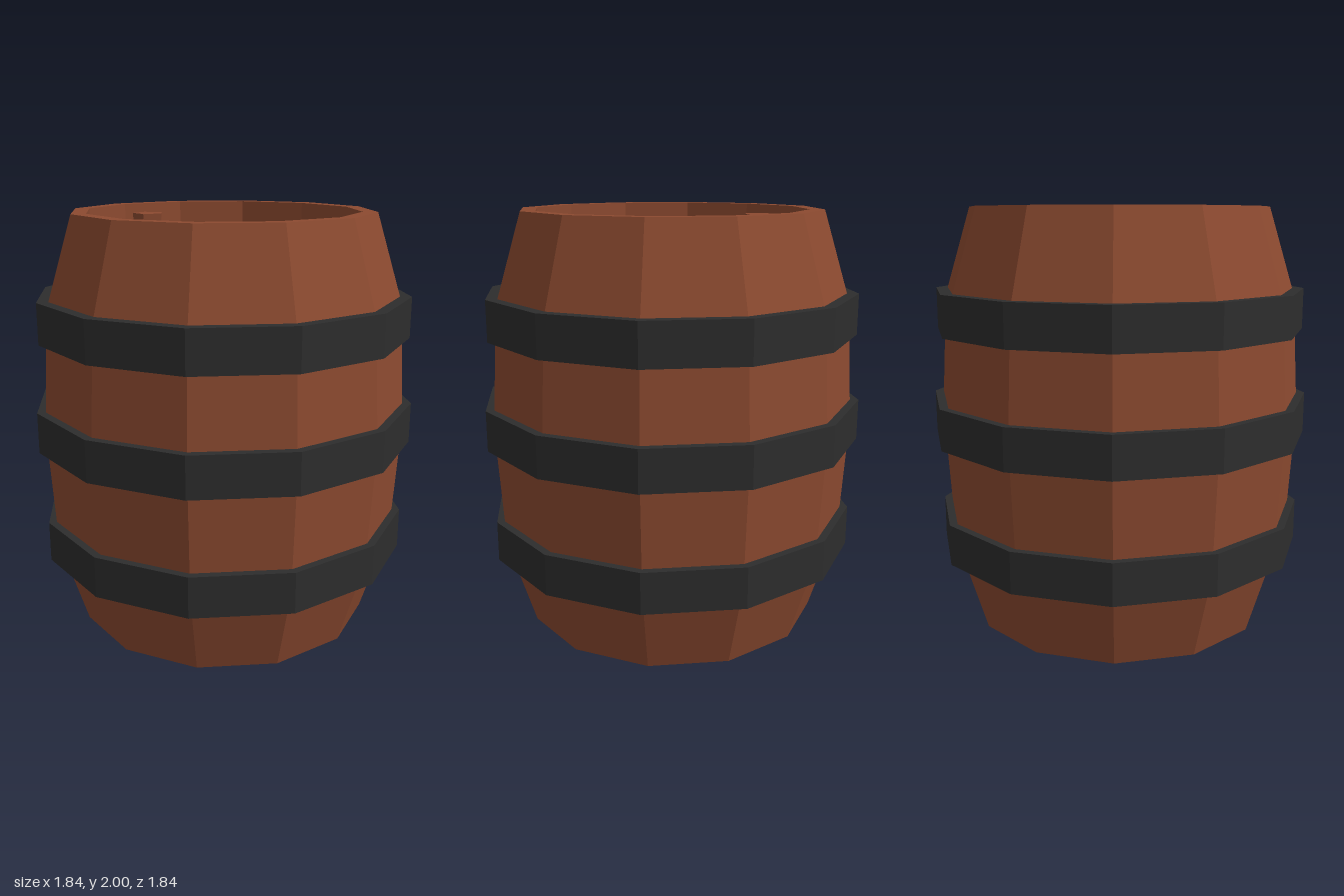
import * as THREE from 'three';

const SIDES = 12;

export function createModel() {
  const barrel = new THREE.Group();
  barrel.name = 'barrel';

  const wood = new THREE.MeshStandardMaterial({ color: 0x8c4a30, flatShading: true });
  const iron = new THREE.MeshStandardMaterial({ color: 0x2d2d2d, flatShading: true });

  const add = (name, geometry, material, x = 0, y = 0, z = 0) => {
    const mesh = new THREE.Mesh(geometry, material);
    mesh.name = name;
    mesh.position.set(x, y, z);
    barrel.add(mesh);
    return mesh;
  };
  const lathe = (pairs) =>
    new THREE.LatheGeometry(pairs.map(([r, y]) => new THREE.Vector2(r, y)), SIDES);

  // Bulging wall with a rim and a recess at both ends
  add('staves', lathe([
    [0.65, 0.17], [0.65, 0], [0.72, 0], [0.85, 0.42], [0.885, 1],
    [0.85, 1.58], [0.72, 2], [0.65, 2], [0.65, 1.88],
  ]), wood);

  // Sunken end boards
  const head = new THREE.CylinderGeometry(0.65, 0.65, 0.04, SIDES);
  add('topHead', head, wood, 0, 1.86, 0);
  add('bottomHead', head, wood, 0, 0.19, 0);

  // Iron hoops, as closed rings
  const hoops = [
    ['lowerHoop', 0.35, 0.895],
    ['middleHoop', 0.905, 0.92],
    ['upperHoop', 1.42, 0.895],
  ];
  for (const [name, y, r] of hoops) {
    const inner = 0.8, h = 0.195;
    add(name, lathe([[inner, 0], [r, 0], [r, h], [inner, h], [inner, 0]]), iron, 0, y, 0);
  }

  // Five-sided tapered plug in the top
  const bung = add('bung', new THREE.CylinderGeometry(0.08, 0.07, 0.1, 5), wood, -0.245, 1.915, -0.405);
  bung.rotation.y = Math.PI;

  return barrel;
}
